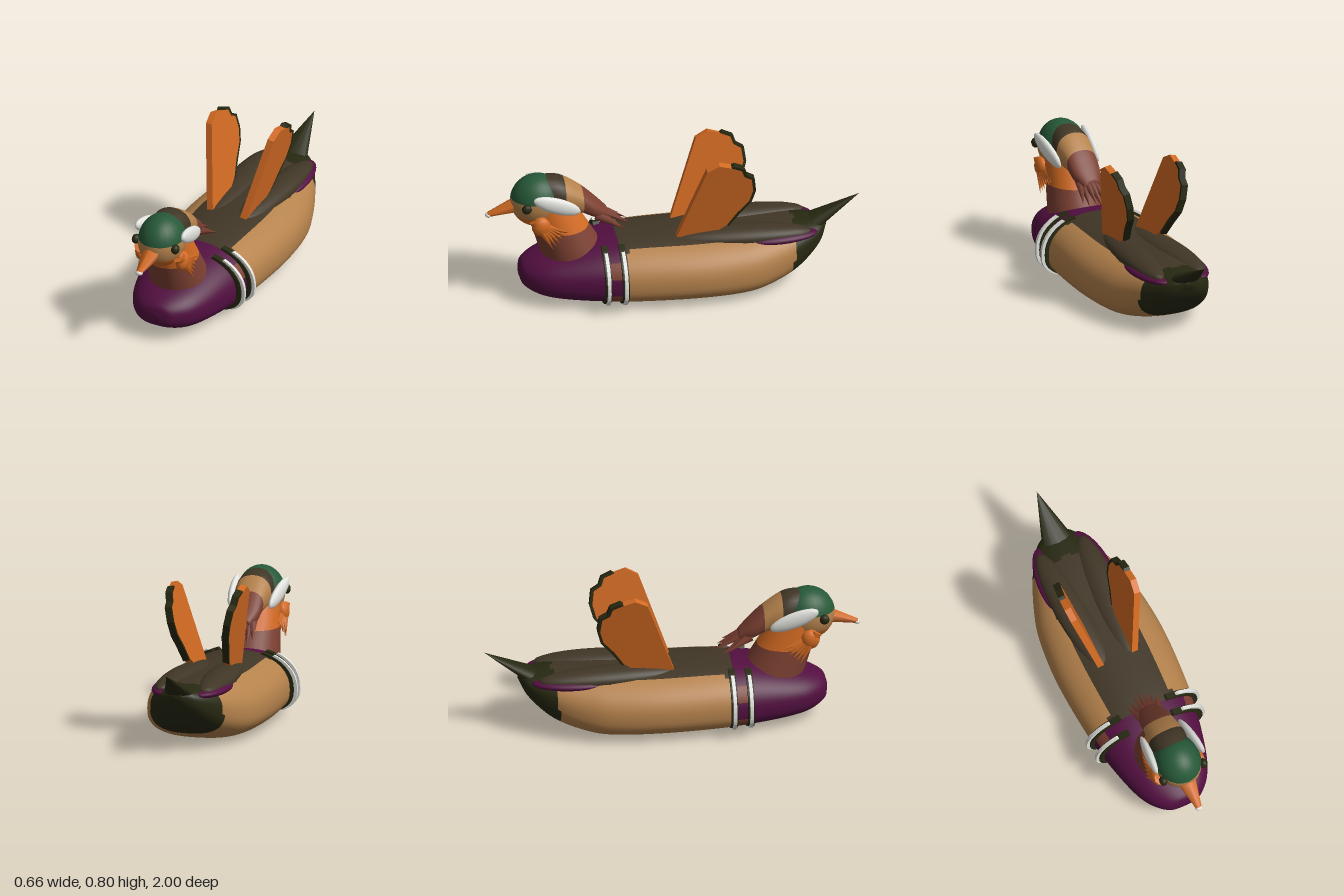
import * as THREE from 'three';

const mat = (name, color) => Object.assign(new THREE.MeshStandardMaterial({ color }), { name });
const green = mat('capGreen', 0x265838), tan = mat('flankTan', 0xb5824c), orange = mat('sailOrange', 0xd26a22),
  purple = mat('breastPurple', 0x520f40), brown = mat('crestBrown', 0x7c4032), backBrown = mat('backBrown', 0x403626),
  olive = mat('tailOlive', 0x272811), white = mat('stripeWhite', 0xe2e2de);

// Rounded cross-section point: half width w, bottom, top and height of the widest line
function sectionPoint(w, bot, top, mid, a) {
  const c = Math.cos(a), s = Math.sin(a), p = s < 0 ? 0.75 : 0.9;
  const h = s < 0 ? mid - bot : top - mid;
  return [w * Math.sign(c) * Math.abs(c) ** p, mid + h * Math.sign(s) * Math.abs(s) ** p];
}

// Smooth loft through [z, w, bottom, top, mid] rows; pick(x, y, z) gives each face its material
function loft(name, rows, steps, sides, materials, pick) {
  const curve = (f) => new THREE.CatmullRomCurve3(rows.map(f), false, 'catmullrom', 0.5);
  const c1 = curve((r) => new THREE.Vector3(r[0], r[1], r[2]));
  const c2 = curve((r) => new THREE.Vector3(r[0], r[3], r[4]));
  const pos = [];
  for (let i = 0; i <= steps; i++) {
    const a = c1.getPoint(i / steps), b = c2.getPoint(i / steps);
    for (let j = 0; j < sides; j++) {
      const [x, y] = sectionPoint(a.y, a.z, b.y, b.z, (j / sides) * Math.PI * 2);
      pos.push(x, y, a.x);
    }
  }
  const lists = materials.map(() => []);
  for (let i = 0; i < steps; i++) for (let j = 0; j < sides; j++) {
    const a = i * sides + j, b = i * sides + ((j + 1) % sides), c = a + sides, d = b + sides;
    const mean = (k) => (pos[a * 3 + k] + pos[b * 3 + k] + pos[c * 3 + k] + pos[d * 3 + k]) / 4;
    lists[materials.indexOf(pick(mean(0), mean(1), mean(2)))].push(a, c, b, b, c, d);
  }
  // End caps
  const last = steps * sides;
  for (let j = 1; j < sides - 1; j++) {
    lists[0].push(0, j, j + 1);
    lists[lists.length - 1].push(last, last + j + 1, last + j);
  }
  const g = new THREE.BufferGeometry();
  g.setAttribute('position', new THREE.Float32BufferAttribute(pos, 3));
  g.setIndex(lists.flat());
  let start = 0;
  lists.forEach((l, k) => { g.addGroup(start, l.length, k); start += l.length; });
  g.computeVertexNormals();
  const m = new THREE.Mesh(g, materials);
  m.name = name;
  return m;
}

export function createModel() {
  const root = new THREE.Group();
  root.name = 'duck';
  const add = (name, geo, material) => {
    const m = new THREE.Mesh(geo, material);
    m.name = name;
    root.add(m);
    return m;
  };
  const ellipsoid = (name, material, p, r, sphere = [24, 16]) => {
    const m = add(name, new THREE.SphereGeometry(1, ...sphere), material);
    m.position.set(...p);
    m.scale.set(...r);
    return m;
  };
  // Pointed cone running from one point to another
  const spike = (name, material, from, to, r, flatX = 1, flatZ = 1, sides = 8, tip = 0) => {
    const a = new THREE.Vector3(...from), b = new THREE.Vector3(...to), d = b.clone().sub(a);
    const m = add(name, new THREE.CylinderGeometry(tip, r, d.length(), sides), material);
    m.position.copy(a).add(b).multiplyScalar(0.5);
    m.quaternion.setFromUnitVectors(new THREE.Vector3(0, 1, 0), d.normalize());
    m.scale.set(flatX, 1, flatZ);
    return m;
  };

  // Body
  root.add(loft('body', [
    [0.82, 0.03, 0.13, 0.17, 0.15], [0.8, 0.1, 0.09, 0.215, 0.15], [0.72, 0.175, 0.05, 0.255, 0.15],
    [0.6, 0.225, 0.028, 0.29, 0.15], [0.4, 0.272, 0.012, 0.335, 0.15], [0.2, 0.3, 0.003, 0.35, 0.15],
    [-0.1, 0.315, 0, 0.35, 0.15], [-0.35, 0.295, 0.004, 0.35, 0.15], [-0.5, 0.255, 0.03, 0.35, 0.17],
    [-0.65, 0.19, 0.09, 0.345, 0.22], [-0.77, 0.11, 0.2, 0.335, 0.27], [-0.82, 0.02, 0.29, 0.32, 0.305],
  ], 88, 56, [purple, brown, tan, backBrown, olive], (x, y, z) => {
    if (z > 0.385) return y < 0.032 ? brown : purple;
    if (z > 0.295) return y < 0.1 || (y > 0.2 && y < 0.27) ? brown : purple;
    if (z < -0.6 - 0.12 * y) return olive;
    return y > 0.2 && Math.abs(x) < 0.18 ? backBrown : tan;
  }));

  // Tail
  spike('tail', olive, [0, 0.285, -0.71], [0, 0.45, -1], 0.1, 1, 0.45, 12);

  // Neck, sheared forward as it rises
  const neck = (name, material, y0, y1) => {
    const w = (y) => 0.155 - (y - 0.26) * 0.13;
    const g = new THREE.CylinderGeometry(w(y1), w(y0), y1 - y0, 28, 4);
    const p = g.attributes.position;
    for (let i = 0; i < p.count; i++) {
      const y = p.getY(i) + (y0 + y1) / 2;
      p.setXYZ(i, p.getX(i), y, p.getZ(i) * 1.12 + 0.53 + (y - 0.26) * 0.45);
    }
    g.computeVertexNormals();
    add(name, g, material);
  };
  neck('lowerNeck', brown, 0.22, 0.415);
  neck('upperNeck', orange, 0.415, 0.55);

  // Head in three colour bands
  const headBand = (name, material, t0, t1) =>
    ellipsoid(name, material, [0, 0.575, 0.72], [0.125, 0.145, 0.145], [24, 10, 0, Math.PI * 2, t0, t1 - t0]);
  headBand('cap', green, 0, 1.4);
  headBand('face', tan, 1.4, 2.05);
  headBand('chin', orange, 2.05, Math.PI);

  // Swept-back crest and its feathers
  root.add(loft('crest', [
    [0.7, 0.09, 0.5, 0.715, 0.6], [0.6, 0.1, 0.5, 0.7, 0.6], [0.5, 0.086, 0.495, 0.638, 0.57],
    [0.42, 0.078, 0.46, 0.565, 0.515], [0.35, 0.045, 0.445, 0.495, 0.47],
  ], 40, 24, [backBrown, tan, brown], (x, y, z) => (z > 0.575 ? backBrown : z > 0.48 ? tan : brown)));
  for (let i = -3; i <= 3; i++) {
    const k = Math.abs(i);
    spike('crestFeather', brown, [i * 0.015, 0.5 - k * 0.008, 0.41],
      [i * 0.03, 0.385 + (k % 2) * 0.02, 0.22 + k * 0.018], 0.035, 0.8, 0.8, 6);
  }

  // Bill with pale nail
  spike('bill', orange, [0, 0.555, 0.83], [0, 0.507, 0.985], 0.055, 1, 0.75, 6, 0.018);
  ellipsoid('billNail', white, [0, 0.505, 0.982], [0.021, 0.014, 0.018], [10, 8]);

  for (const s of [1, -1]) {
    // Eye and white brow
    ellipsoid('eye', olive, [s * 0.117, 0.583, 0.795], [0.022, 0.027, 0.027], [10, 8]);
    const brow = ellipsoid('brow', white, [s * 0.124, 0.592, 0.635], [0.024, 0.045, 0.14], [14, 12]);
    brow.rotation.set(-0.4, s * 0.1, 0);

    // Fan of cheek feathers
    for (let i = 0; i < 6; i++) {
      spike('cheekFeather', orange, [s * (0.118 - i * 0.002), 0.51 - i * 0.007, 0.755 - i * 0.006],
        [s * (0.155 - i * 0.004), 0.35 + i * 0.016, 0.66 - i * 0.018], 0.034, 0.8, 1, 7);
    }
    ellipsoid('cheek', orange, [s * 0.12, 0.475, 0.72], [0.034, 0.055, 0.05], [12, 10]);

    // Folded wing with a purple patch beneath
    const wing = ellipsoid('foldedWing', backBrown, [s * 0.1, 0.318, -0.34], [0.088, 0.055, 0.385]);
    wing.rotation.y = -s * 0.06;
    const patch = ellipsoid('wingPatch', purple, [s * 0.125, 0.303, -0.56], [0.078, 0.03, 0.2]);
    patch.rotation.y = s * 0.1;

    // Upright sail feather: outline in (-z, y), leaning outwards, with a dark trailing rim
    const sail = new THREE.Group();
    sail.name = 'sail';
    const edge = [[0.3, 0.45], [0.355, 0.425], [0.37, 0.38], [0.41, 0.355], [0.42, 0.275], [0.4, 0.2], [0.34, 0.125], [0.28, 0.04]];
    const inner = edge.map(([u, v]) => [u - 0.015 * (u > 0.29 ? 1 : 0.5), v - (v - 0.25) * 0.05]);
    const plate = (name, pts, material) => {
      const shape = new THREE.Shape(pts.map(([u, v]) => new THREE.Vector2(u, v)));
      const g = new THREE.ExtrudeGeometry(shape, { depth: 0.036, bevelEnabled: false });
      g.translate(0, 0, -0.018).rotateY(Math.PI / 2);
      const m = new THREE.Mesh(g, material);
      m.name = name;
      sail.add(m);
    };
    plate('sailBlade', [[0, -0.02], [0.155, 0.425], [0.22, 0.46], ...inner, [0.2, 0.0]], orange);
    plate('sailRim', [...edge, ...inner.slice().reverse()], olive);
    sail.position.set(s * 0.1, 0.35, 0);
    sail.rotation.z = -s * 0.2;
    root.add(sail);

    // Breast bands: dark backing with a white stripe standing proud
    for (const [z, w, top] of [[0.385, 0.275, 0.338], [0.295, 0.287, 0.344]]) {
      const band = (name, o0, o1, a0, a1, depth, material) => {
        const pts = [], n = 16;
        const at = (o, a) => new THREE.Vector2(...sectionPoint(w + o, 0.012 - o * 0.2, top + o * 0.5, 0.15, a));
        for (let i = 0; i <= n; i++) pts.push(at(o1, a0 + ((a1 - a0) * i) / n));
        for (let i = n; i >= 0; i--) pts.push(at(o0, a0 + ((a1 - a0) * i) / n));
        if (s < 0) pts.forEach((p) => { p.x *= -1; });
        const g = new THREE.ExtrudeGeometry(new THREE.Shape(pts), { depth, bevelEnabled: false });
        add(name, g.translate(0, 0, z - depth / 2), material);
      };
      band('bandBacking', -0.03, 0.025, -1.15, 1.15, 0.034, olive);
      band('bandStripe', 0.01, 0.042, -0.8, 0.95, 0.018, white);
    }
  }
  return root;
}
